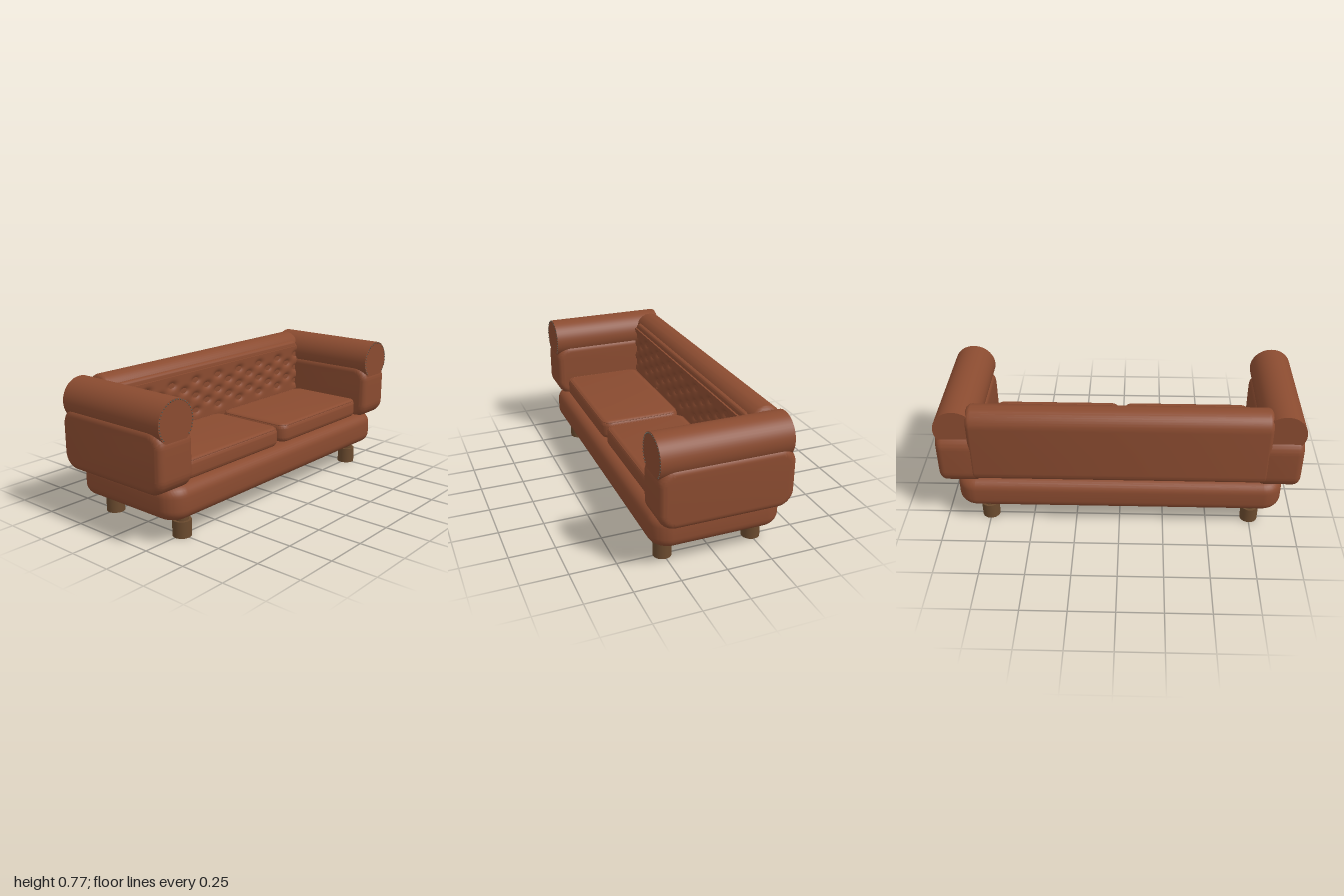
import * as THREE from 'three';
import { toCreasedNormals } from 'three/addons/utils/BufferGeometryUtils.js';

const leather = new THREE.MeshStandardMaterial({ color: 0x8a4b30 });
leather.name = 'brown leather';
const wood = new THREE.MeshStandardMaterial({ color: 0x6a4a2e });
wood.name = 'dark wood';
const metal = new THREE.MeshStandardMaterial({ color: 0x5c5247 });
metal.name = 'aged metal';

function roundedRect(w, h, r) {
  const s = new THREE.Shape(), x = w / 2 - r, y = h / 2 - r, q = Math.PI / 2;
  [[x, y], [-x, y], [-x, -y], [x, -y]].forEach(([cx, cy], i) =>
    s.absarc(cx, cy, r, i * q, (i + 1) * q, false));
  s.closePath();
  return s;
}

// Extrudes a shape along z, centred, with softly rounded rims
function softExtrude(shape, depth, bevel) {
  const g = new THREE.ExtrudeGeometry(shape, {
    depth: depth - 2 * bevel, bevelEnabled: true, bevelSize: bevel,
    bevelThickness: bevel, bevelSegments: 7, curveSegments: 10,
  });
  g.translate(0, 0, bevel - depth / 2);
  g.deleteAttribute('uv');
  return toCreasedNormals(g, 0.6);
}

// Upholstered slab: outline w by h with corner radius r, rims rounded by bevel
const softSlab = (w, h, depth, r, bevel) =>
  softExtrude(roundedRect(w - 2 * bevel, h - 2 * bevel, r - bevel), depth, bevel);

function add(parent, name, geometry, material, x = 0, y = 0, z = 0) {
  const m = new THREE.Mesh(geometry, material);
  m.name = name;
  m.position.set(x, y, z);
  parent.add(m);
  return m;
}

// Button-tufted sheet: staggered dimples pressed into a shallow quilted surface
function tuftedGeometry(w, h) {
  const g = new THREE.PlaneGeometry(w, h, 180, 40);
  const p = g.attributes.position, stepX = 0.19, stepY = 0.045;
  for (let i = 0; i < p.count; i++) {
    const x = p.getX(i), y = p.getY(i);
    let z = 0;
    for (let row = -2; row <= 2; row++) {
      const shift = row % 2 ? stepX / 2 : 0;
      const dx = x - shift - Math.round((x - shift) / stepX) * stepX;
      const dy = y - row * stepY;
      z -= 0.018 * Math.exp(-(dx * dx) / 0.0011 - (dy * dy) / 0.0004);
    }
    p.setZ(i, z);
  }
  g.computeVertexNormals();
  return g;
}

export function createModel() {
  const sofa = new THREE.Group();
  sofa.name = 'sofa';

  // Base with rounded plan corners
  const base = softSlab(1.83, 0.72, 0.185, 0.11, 0.06);
  base.rotateX(-Math.PI / 2);
  add(sofa, 'base', base, leather, 0, 0.2175, 0);

  // Backrest profile in (depth, height), swept across the width
  const profile = new THREE.Shape();
  profile.moveTo(0.23, 0.355);
  profile.lineTo(0.315, 0.355);
  profile.quadraticCurveTo(0.335, 0.355, 0.335, 0.385);
  profile.lineTo(0.335, 0.675);
  profile.absarc(0.275, 0.68, 0.06, 0, Math.PI, false);
  profile.lineTo(0.215, 0.375);
  profile.quadraticCurveTo(0.215, 0.355, 0.23, 0.355);
  const back = softExtrude(profile, 1.64, 0.03);
  back.rotateY(Math.PI / 2);
  add(sofa, 'backrest', back, leather);

  // Padded border and tufted sheet on the inside of the back
  add(sofa, 'innerBack', softSlab(1.58, 0.39, 0.08, 0.05, 0.02), leather, 0, 0.53, -0.215);
  add(sofa, 'tuftedPanel', tuftedGeometry(1.54, 0.28), leather, 0, 0.55, -0.165);
  for (const y of [0.412, 0.69])
    add(sofa, 'tuftedPanelEdge', new THREE.BoxGeometry(1.54, 0.006, 0.022), leather, 0, y, -0.176);

  for (const side of [-1, 1]) {
    // Arm: soft block with a round roll on top
    const arm = new THREE.Group();
    arm.name = side > 0 ? 'leftArm' : 'rightArm';
    arm.position.x = side * 0.882;
    sofa.add(arm);
    const block = softSlab(0.724, 0.33, 0.235, 0.09, 0.04);
    block.rotateY(Math.PI / 2);
    add(arm, 'armBlock', block, leather, 0, 0.455, 0.002);
    const roll = new THREE.CylinderGeometry(0.117, 0.117, 0.695, 48);
    roll.rotateX(Math.PI / 2);
    add(arm, 'armRoll', roll, leather, 0, 0.65, 0.0125);

    // Nail heads around the front of the roll
    for (let i = 0; i <= 30; i++) {
      const a = -0.7 + (i / 30) * (Math.PI + 1.4);
      add(arm, 'nailHead', new THREE.SphereGeometry(0.004, 8, 6), metal,
        Math.cos(a) * 0.111, 0.65 + Math.sin(a) * 0.111, 0.361);
    }

    // Seat cushion with a fine seam round the top edge
    const cushion = softSlab(0.762, 0.475, 0.11, 0.055, 0.03);
    cushion.rotateX(-Math.PI / 2);
    add(sofa, 'seatCushion', cushion, leather, side * 0.393, 0.36, 0.0725);
    const points = roundedRect(0.744, 0.457, 0.046).getSpacedPoints(80).slice(0, -1);
    const path = new THREE.CatmullRomCurve3(points.map(p => new THREE.Vector3(p.x, 0, p.y)), true);
    add(sofa, 'cushionSeam', new THREE.TubeGeometry(path, 120, 0.004, 6, true), leather,
      side * 0.393, 0.406, 0.0725);

    // Stepped round feet
    for (const z of [-0.254, 0.254]) {
      const leg = new THREE.Group();
      leg.name = 'leg';
      leg.position.set(side * 0.752, 0, z);
      sofa.add(leg);
      add(leg, 'foot', new THREE.CylinderGeometry(0.05, 0.05, 0.09, 32), wood, 0, 0.045, 0);
      add(leg, 'legNeck', new THREE.CylinderGeometry(0.036, 0.036, 0.05, 32), wood, 0, 0.113, 0);
    }
  }
  return sofa;
}
